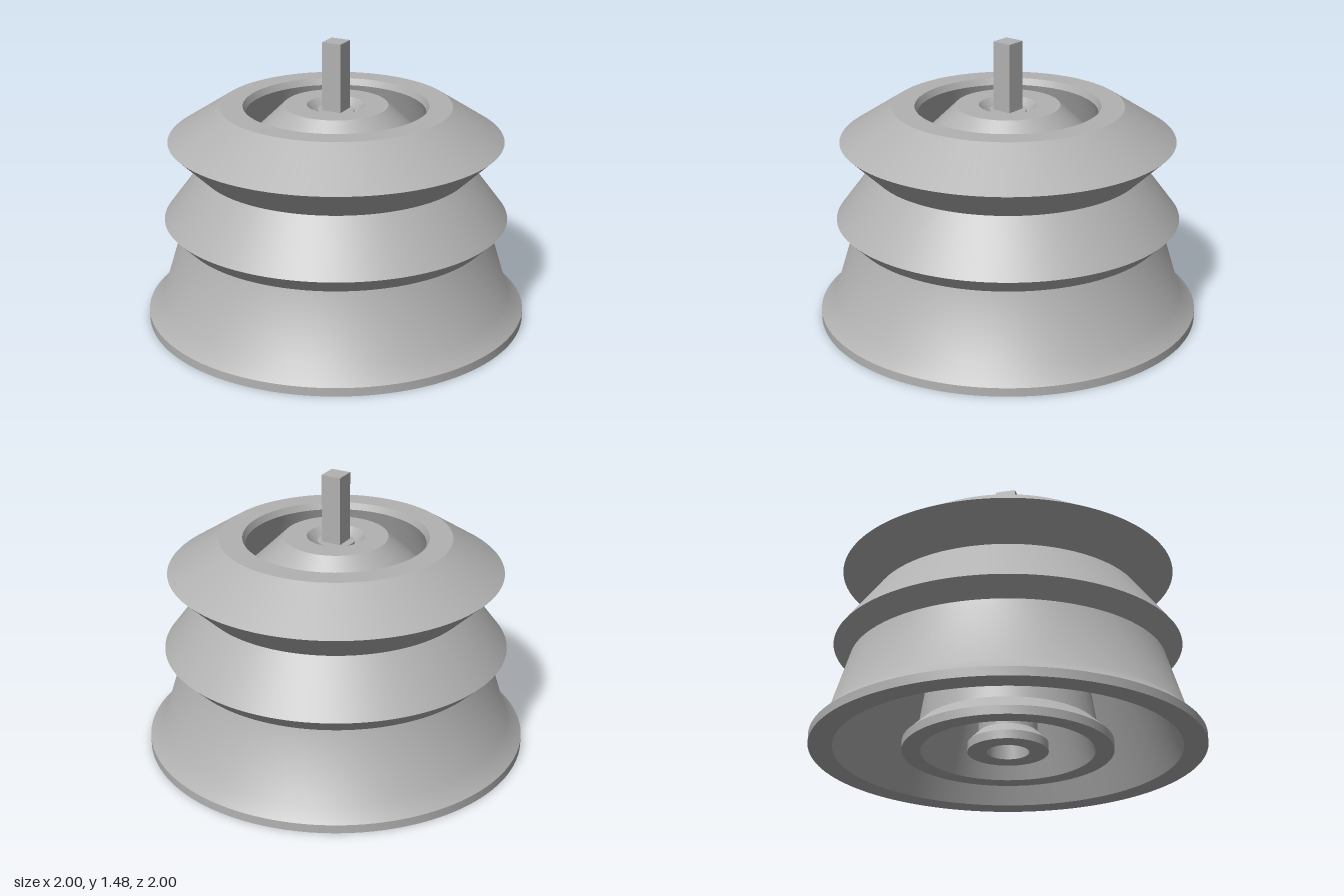
import * as THREE from 'three';
import { toCreasedNormals } from 'three/addons/utils/BufferGeometryUtils.js';

export function createModel() {
  const model = new THREE.Group();
  model.name = 'nestedBellows';
  const grey = new THREE.MeshStandardMaterial({ color: 0xb2b2b2 });
  grey.name = 'grey';

  // Turned part from [radius, height] points: up the outside, down the inside
  function turned(name, points, segments) {
    const profile = points.map(([r, y]) => new THREE.Vector2(r, y));
    const geometry = toCreasedNormals(new THREE.LatheGeometry(profile, segments), 0.557);
    const mesh = new THREE.Mesh(geometry, grey);
    mesh.name = name;
    model.add(mesh);
  }

  // Large pleated shell with a flared foot
  turned('outerBellows', [
    [1, 0], [1, 0.045], [0.92, 0.12], [0.815, 0.465], [0.9, 0.55],
    [0.705, 0.81], [0.87, 0.97], [0.6, 1.145],
    [0.48, 1.145], [0.465, 1.11], [0.88, 0], [1, 0],
  ], 128);

  // Middle shell
  turned('middleBellows', [
    [0.535, 0], [0.535, 0.045], [0.455, 0.12], [0.4, 0.465], [0.46, 0.55],
    [0.38, 0.78], [0.49, 0.93], [0.27, 1.145],
    [0.15, 1.145], [0.1, 1.08], [0.44, 0], [0.535, 0],
  ], 96);

  // Narrow core with a blind bore from below
  turned('core', [
    [0.205, 0], [0.205, 0.045], [0.15, 0.1], [0.15, 0.5], [0.095, 0.9], [0.095, 1.12],
    [0, 1.12],
  ], 64);
  turned('coreBore', [[0, 0.9], [0.07, 0.9], [0.107, 0], [0.205, 0]], 64);

  // Square post
  const post = new THREE.Mesh(new THREE.BoxGeometry(0.106, 0.43, 0.106), grey);
  post.name = 'post';
  post.position.y = 1.265;
  model.add(post);

  return model;
}
